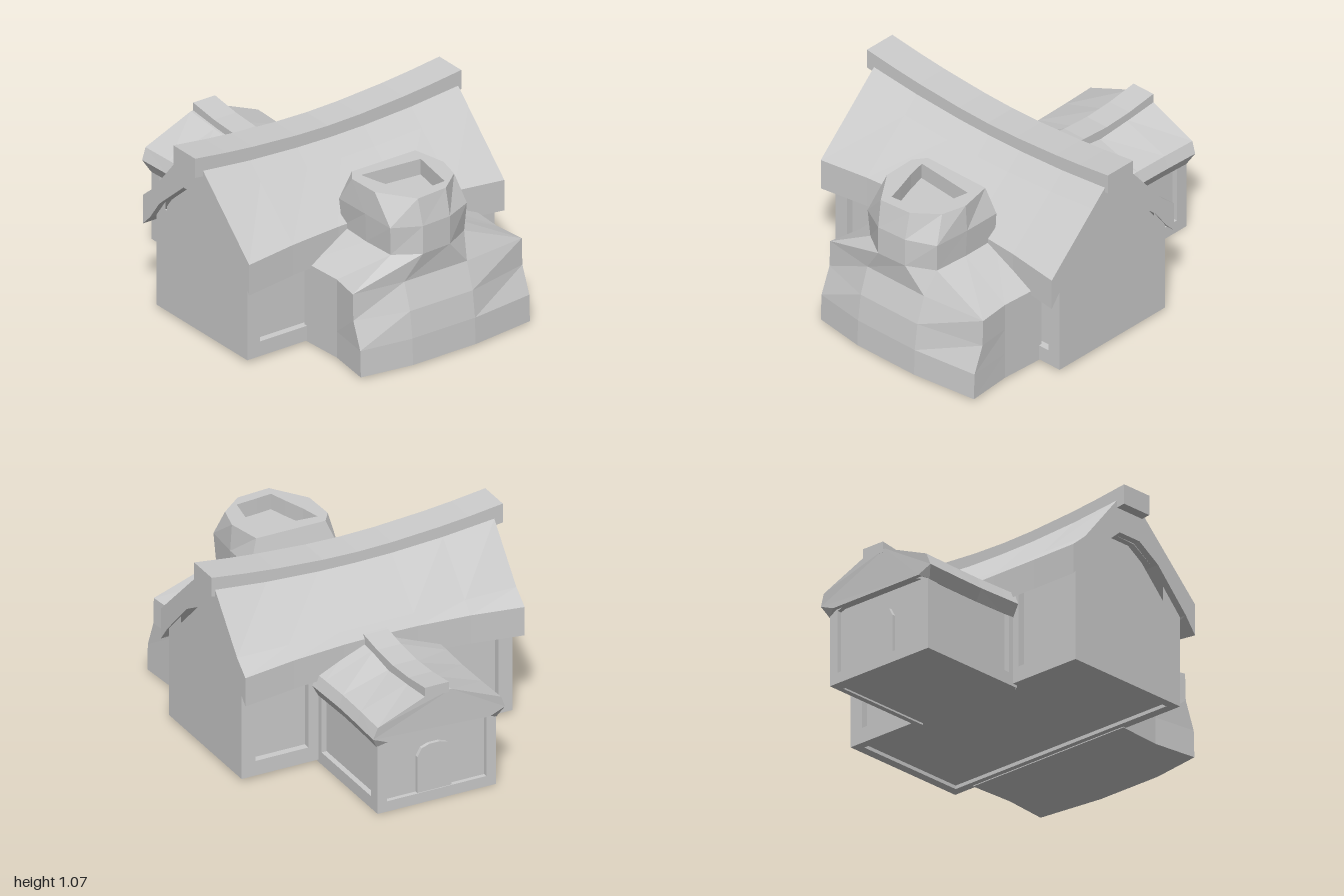
import * as THREE from 'three';

const material = new THREE.MeshStandardMaterial({ color: 0xcccccc, flatShading: true });

function addMesh(parent, name, geometry) {
  const mesh = new THREE.Mesh(geometry, material);
  mesh.name = name;
  parent.add(mesh);
  return mesh;
}

// Box given by its lower and upper bounds
function addBox(parent, name, [x0, x1], [y0, y1], [z0, z1]) {
  const mesh = addMesh(parent, name, new THREE.BoxGeometry(x1 - x0, y1 - y0, z1 - z0));
  mesh.position.set((x0 + x1) / 2, (y0 + y1) / 2, (z0 + z1) / 2);
}

// Closed solid through equal-length rings of [x, y, z]; flat[] picks the two cap axes
function loft(rings, flat) {
  const n = rings[0].length;
  const tris = [];
  for (let r = 0; r < rings.length - 1; r++) {
    for (let i = 0; i < n; i++) {
      const j = (i + 1) % n;
      const a = rings[r][i], b = rings[r][j], c = rings[r + 1][j], d = rings[r + 1][i];
      tris.push([a, b, c], [a, c, d]);
    }
  }
  const volume = (list) => list.reduce((sum, t) => {
    const [a, b, c] = t.map((p) => new THREE.Vector3(...p));
    return sum + a.dot(b.cross(c));
  }, 0);
  const area = (t) => {
    const [a, b, c] = t.map((p) => [p[flat[0]], p[flat[1]]]);
    return (b[0] - a[0]) * (c[1] - a[1]) - (b[1] - a[1]) * (c[0] - a[0]);
  };
  // Caps run against the ring direction at the start and with it at the end
  const cap = (ring, withRing) => {
    const pts = ring.map((p) => new THREE.Vector2(p[flat[0]], p[flat[1]]));
    const ccw = THREE.ShapeUtils.area(pts) > 0;
    for (const f of THREE.ShapeUtils.triangulateShape(pts.slice(), [])) {
      const t = f.map((i) => ring[i]);
      if ((area(t) > 0) !== (ccw === withRing)) t.reverse();
      tris.push(t);
    }
  };
  cap(rings[0], false);
  cap(rings[rings.length - 1], true);
  if (volume(tris) < 0) tris.forEach((t) => t.reverse());
  const geometry = new THREE.BufferGeometry();
  geometry.setAttribute('position', new THREE.Float32BufferAttribute(tris.flat(2), 3));
  geometry.computeVertexNormals();
  return geometry;
}

// Flat outline with an optional opening, extruded along z
function plate(outline, depth, hole) {
  const toVec = (list) => list.map((p) => new THREE.Vector2(...p));
  const shape = new THREE.Shape(toVec(outline));
  if (hole) shape.holes.push(new THREE.Path(toVec(hole)));
  return new THREE.ExtrudeGeometry(shape, { depth, bevelEnabled: false, curveSegments: 6 });
}

// Plate drawn in (z, y) and extruded from x0 to x1
function sidePlate(parent, name, outline, x0, x1, hole) {
  const swap = (list) => list && list.map(([z, y]) => [-z, y]);
  const mesh = addMesh(parent, name, plate(swap(outline), x1 - x0, swap(hole)));
  mesh.rotation.y = Math.PI / 2;
  mesh.position.x = x0;
}

function buildHouse() {
  const house = new THREE.Group();
  house.name = 'house';
  const outline = [[0.46, 0.015], [0.46, 0.55], [0.12, 0.88], [-0.05, 0.88], [-0.33, 0.6], [-0.33, 0.015]];
  const opening = [[0.33, 0.1], [0.33, 0.66], [0.25, 0.735], [0.11, 0.815], [-0.04, 0.82], [-0.25, 0.64], [-0.25, 0.1]];
  const core = [[0.42, 0.035], [0.42, 0.55], [0.1, 0.87], [-0.04, 0.87], [-0.29, 0.6], [-0.29, 0.035]];
  sidePlate(house, 'wallPanels', core, -0.72, 0.78);
  sidePlate(house, 'leftGableFrame', outline, 0.77, 0.82, opening);
  sidePlate(house, 'rightGableFrame', outline, -0.76, -0.71, opening);

  // Sills and corner posts of the long walls
  for (const z of [[0.41, 0.46], [-0.33, -0.28]]) {
    addBox(house, 'sill', [-0.72, 0.78], [0.015, 0.1], z);
    addBox(house, 'cornerPost', [-0.72, -0.68], [0.015, 0.56], z);
    addBox(house, 'cornerPost', [0.74, 0.78], [0.015, 0.56], z);
  }
  for (const x of [-0.36, 0.36]) addBox(house, 'porchPost', [x, x + 0.07], [0.015, 0.56], [-0.33, -0.28]);

  // Sagging roof, with eaves drawn in at the middle
  const stations = [-0.8, -0.5, -0.2, 0.015, 0.23, 0.53, 0.83];
  const profile = [[0.53, 0.43], [0.53, 0.605], [0.22, 0.9], [0.12, 0.995], [0.03, 1.01], [-0.06, 0.995],
    [-0.3, 0.71], [-0.39, 0.635], [-0.39, 0.47],
    [-0.33, 0.53], [-0.25, 0.64], [-0.04, 0.82], [0.11, 0.82], [0.25, 0.735], [0.46, 0.52]];
  const rings = stations.map((x) => {
    const mid = 1 - ((x - 0.015) / 0.815) ** 2;
    return profile.map(([z, y]) => {
      const eave = Math.abs(z - 0.05) > 0.42;
      const drop = y > 0.85 ? -0.05 : eave ? 0.025 : 0;
      return [x, y + drop * mid, eave ? z - Math.sign(z) * 0.045 * mid : z];
    });
  });
  addMesh(house, 'mainRoof', loft(rings, [2, 1]));

  // Ridge beam
  const beam = [-0.85, -0.65, -0.48, -0.2, 0, 0.2, 0.48, 0.65, 0.85].map((x) => {
    const top = 1.005 + 0.065 * (Math.abs(x) / 0.85) ** 1.8;
    return [[x, top - 0.11, 0.13], [x, top, 0.13], [x, top, -0.06], [x, top - 0.11, -0.06]];
  });
  addMesh(house, 'ridgeBeam', loft(beam, [2, 1]));
  return house;
}

function buildPorch() {
  const porch = new THREE.Group();
  porch.name = 'porch';
  porch.position.x = 0.025;

  // Recessed core with a framed end wall
  const gable = (w, y) => [[-w, y], [w, y], [w, 0.44], [0, 0.55], [-w, 0.44]];
  addMesh(porch, 'porchPanels', plate(gable(0.315, 0.01), 0.67)).position.z = -0.945;
  const opening = [[-0.29, 0.06], [0.29, 0.06], [0.29, 0.41], [0, 0.5], [-0.29, 0.41]];
  addMesh(porch, 'porchEndFrame', plate(gable(0.345, 0), 0.07, opening)).position.z = -0.97;

  // Arched door
  const arch = [[-0.09, 0.02], [0.11, 0.02], [0.11, 0.27], [0.085, 0.315], [0.04, 0.33], [-0.02, 0.33], [-0.065, 0.315], [-0.09, 0.27]];
  addMesh(porch, 'door', plate(arch, 0.03)).position.z = -0.965;

  for (const s of [-1, 1]) {
    const x = [s * 0.33 - 0.015, s * 0.33 + 0.015];
    addBox(porch, 'porchSill', x, [0, 0.07], [-0.91, -0.3]);
    addBox(porch, 'porchInnerPost', x, [0, 0.42], [-0.36, -0.3]);
  }

  // Porch roof: ridge dips in the middle, eave edges are chamfered
  const half = [[0.07, 0.62], [0.36, 0.52], [0.385, 0.455], [0.35, 0.39], [0.3, 0.42]];
  const section = [...half, ...half.map(([x, y]) => [-x, y]).reverse()];
  const spans = [[-0.25, 0.02, 1], [-0.42, 0.01, 0.985], [-0.6, -0.015, 0.97], [-0.8, 0, 0.98], [-0.985, 0.02, 1]];
  const roof = spans.map(([z, lift, wide]) => section.map(([x, y]) => {
    const end = z < -0.9 ? (y > 0.5 ? -0.015 : y < 0.4 ? 0.02 : -0.01) : 0;
    return [x * wide, y + (y > 0.6 ? lift : 0), z + end];
  }));
  addMesh(porch, 'porchRoof', loft(roof, [0, 1]));

  const cap = [[-0.26, 0.7], [-0.34, 0.68], [-0.48, 0.66], [-0.65, 0.65], [-0.82, 0.66], [-1, 0.685]].map(([z, y]) =>
    [[-0.055, y - 0.06, z], [0.085, y - 0.06, z], [0.085, y, z], [-0.055, y, z]]);
  addMesh(porch, 'porchRidgeBeam', loft(cap, [0, 1]));
  return porch;
}

// Broad oven base narrowing to a faceted stack with a sunken opening.
// Each ring is [y, then (x, z) from back right round the front to back left].
function buildOven() {
  const base = (y, cornerZ, frontZ) => [y, [-0.38, 0.44], [-0.365, 0.7], [-0.4, cornerZ], [-0.1, frontZ],
    [0.3, frontZ], [0.68, cornerZ], [0.66, 0.7], [0.675, 0.44]];
  const hole = [[-0.09, 0.53], [-0.06, 0.64], [-0.02, 0.76], [0.01, 0.86], [0.1, 0.85], [0.22, 0.84], [0.245, 0.7], [0.27, 0.565]];
  const levels = [
    base(0.01, 0.955, 1), base(0.16, 0.95, 0.995), base(0.31, 0.89, 0.975), base(0.46, 0.885, 0.925),
    [0.6, [-0.14, 0.44], [-0.15, 0.66], [-0.14, 0.86], [0, 0.95], [0.18, 0.94], [0.33, 0.86], [0.345, 0.66], [0.345, 0.44]],
    [0.76, [-0.16, 0.44], [-0.155, 0.66], [-0.15, 0.87], [0, 0.95], [0.18, 0.94], [0.34, 0.87], [0.355, 0.66], [0.355, 0.44]],
    [0.91, [-0.1, 0.47], [-0.15, 0.54], [-0.145, 0.73], [-0.01, 0.92], [0.18, 0.905], [0.31, 0.8], [0.345, 0.66], [0.305, 0.47]],
    [0.91, ...hole], [0.82, ...hole],
  ];
  const rings = levels.map(([y, ...pts]) => pts.map(([x, z]) => [x, y, z]));
  return loft(rings, [0, 2]);
}

export function createModel() {
  const model = new THREE.Group();
  model.name = 'cottage';
  model.add(buildHouse(), buildPorch());
  addMesh(model, 'ovenAndChimney', buildOven());
  return model;
}
